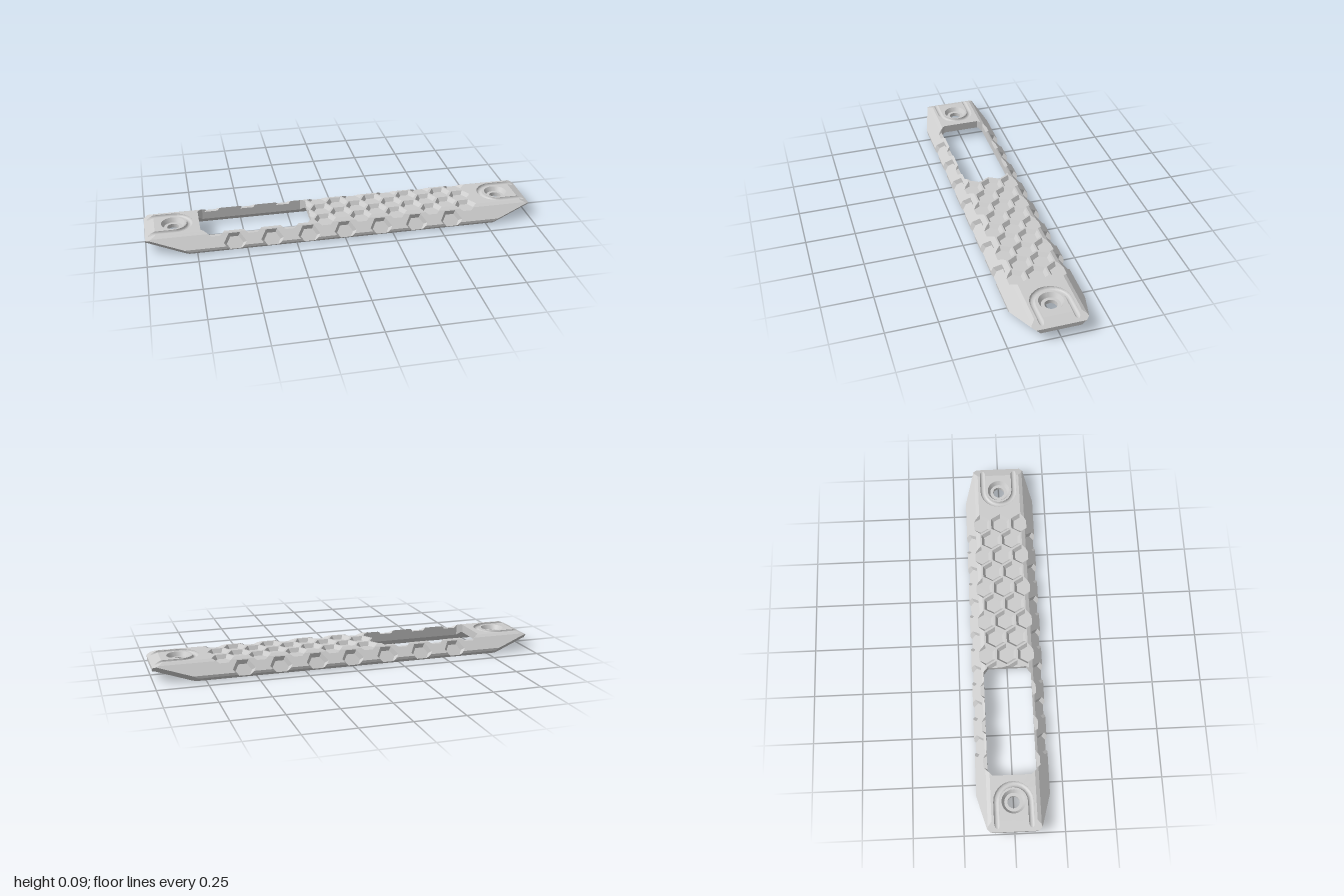
import * as THREE from 'three';
import { toCreasedNormals } from 'three/addons/utils/BufferGeometryUtils.js';

// The cover is one convex bar with convex pockets carved out of it. Every solid
// is a list of planes whose normals point outwards.
const EPS = 1e-6;
const V = (x, y, z) => new THREE.Vector3(x, y, z);
const plane = (normal, point) =>
  new THREE.Plane().setFromNormalAndCoplanarPoint(normal.clone().normalize(), point);

// Split a convex polygon into the parts behind and in front of a plane
function split(poly, pl) {
  const d = poly.map((p) => pl.distanceToPoint(p));
  if (!d.some((v) => v < -EPS)) return [null, poly];
  if (!d.some((v) => v > EPS)) return [poly, null];
  const inside = [], outside = [];
  poly.forEach((p, i) => {
    const j = (i + 1) % poly.length;
    if (d[i] <= EPS) inside.push(p);
    if (d[i] >= -EPS) outside.push(p);
    if ((d[i] < -EPS && d[j] > EPS) || (d[i] > EPS && d[j] < -EPS)) {
      const cut = p.clone().lerp(poly[j], d[i] / (d[i] - d[j]));
      inside.push(cut);
      outside.push(cut);
    }
  });
  return [inside, outside];
}

function clip(poly, planes) {
  for (const pl of planes) {
    if (!poly) return null;
    poly = split(poly, pl)[0];
  }
  return poly;
}

function subtract(poly, planes) {
  const kept = [];
  let rest = poly;
  for (const pl of planes) {
    const [inside, outside] = split(rest, pl);
    if (!inside) return [poly];
    if (outside) kept.push(outside);
    rest = inside;
  }
  return kept;
}

// Faces of a convex solid, each cut from a large square on its plane
function facesOf(planes, skip = []) {
  return planes.filter((pl) => !skip.includes(pl)).map((pl) => {
    const n = pl.normal;
    const u = (Math.abs(n.y) < 0.9 ? V(0, 1, 0) : V(1, 0, 0)).cross(n).normalize();
    const v = n.clone().cross(u);
    const c = n.clone().multiplyScalar(-pl.constant);
    const square = [[1, 1], [-1, 1], [-1, -1], [1, -1]].map(([a, b]) =>
      c.clone().addScaledVector(u, 4 * a).addScaledVector(v, 4 * b));
    return clip(square, planes.filter((o) => o !== pl));
  }).filter(Boolean);
}

const TOP = 0.0915;

// Bar: flat top, bevelled shoulders, sloping legs and tapered ends
function barPlanes() {
  const planes = [plane(V(0, 1, 0), V(0, TOP, 0)), plane(V(0, -1, 0), V(0, 0, 0))];
  for (const s of [1, -1]) {
    planes.push(
      plane(V(0, 0.89, 0.45 * s), V(0, TOP, 0.112 * s)),
      plane(V(0, 1, s), V(0, 0.03, 0.183 * s)),
      plane(V(0, 0, s), V(0, 0, 0.183 * s)),
      plane(V(0, -1, s), V(0, 0, 0.166 * s)),
      plane(V(s, 0, 0), V(s, 0, 0)),
      plane(V(0.43 * s, 1, 0), V(0.95 * s, TOP, 0)));
    for (const e of [1, -1]) planes.push(plane(V(0.56 * e, -1, s), V(0.79 * e, 0, 0.166 * s)));
  }
  return planes;
}

// Tapered hole with n sides: radius r at the floor, growing by `flare` per unit height
function pocket(floor, up, n, r, flare, turn = 0) {
  const ex = V(1, 0, 0), ez = ex.clone().cross(up);
  const planes = [plane(up.clone().negate(), floor)];
  for (let i = 0; i < n; i++) {
    const a = turn + (i * 2 * Math.PI) / n;
    const dir = ex.clone().multiplyScalar(Math.cos(a)).addScaledVector(ez, Math.sin(a));
    planes.push(plane(dir.clone().addScaledVector(up, -flare), floor.clone().addScaledVector(dir, r)));
  }
  return planes;
}

// Round-bottomed groove segments along a path; the joints get no end faces
function groove(path, r) {
  const dirs = path.slice(1).map((p, i) => p.clone().sub(path[i]).normalize());
  return dirs.map((d, i) => {
    const joint = (k) => d.clone().add(dirs[k] || d);
    const skip = [plane(joint(i - 1).negate(), path[i]), plane(joint(i + 1), path[i + 1])];
    const side = V(0, 1, 0).cross(d), planes = [...skip];
    for (let k = 0; k <= 12; k++) {
      const a = (k * Math.PI) / 12;
      const n = side.clone().multiplyScalar(Math.cos(a)).add(V(0, -Math.sin(a), 0));
      planes.push(plane(n, path[i].clone().addScaledVector(n, r)));
    }
    return { planes, skip };
  });
}

function makeCutters() {
  const cutters = [];
  const add = (name, planes, skip) => cutters.push({ name, planes, skip });

  // Channel under the bar
  add('undersideChannel', [plane(V(0, 1, 0), V(0, 0.049, 0)),
    plane(V(0, 1, 1), V(0, 0, 0.153)), plane(V(0, 1, -1), V(0, 0, -0.153))]);

  // Window with clipped corners
  const win = [];
  for (const s of [1, -1]) {
    const x = s > 0 ? -0.16 : -0.725;
    win.push(plane(V(s, 0, 0), V(x, 0, 0)), plane(V(0, 0, s), V(0, 0, 0.122 * s)));
    for (const e of [1, -1]) win.push(plane(V(s, 0, e), V(x - 0.025 * s, 0, 0.122 * e)));
  }
  add('windowWalls', win);

  // Honeycomb on the top and a row of hexagons on each leg
  const step = 0.0935, row = 0.054, depth = 0.02, inner = 0.036, flare = 0.66;
  const hex = (floor, up) => add('hexPockets', pocket(floor, up, 6, inner, flare, Math.PI / 6));
  const yFloor = TOP - depth, up = V(0, 1, 0);
  for (let k = -7; k <= 7; k += 2)
    for (const z of [-2, 0, 2]) hex(V(k * step, yFloor, z * row), up);
  for (let k = -2; k <= 6; k += 2)
    for (const z of [-1, 1]) hex(V(k * step, yFloor, z * row), up);
  for (const s of [1, -1]) {
    const n = V(0, 1, s).normalize();
    for (let k = -6; k <= 6; k += 2)
      hex(V(k * step, 0.043, 0.17 * s).addScaledVector(n, -depth), n);
  }

  // Screw seats, screw holes and the U-shaped grooves around them
  for (const s of [1, -1]) {
    const x = 0.856 * s;
    add('screwSeats', pocket(V(x, TOP - 0.022, 0), up, 32, 0.046, 0.6));
    add('screwHoles', pocket(V(x, -1, 0), up, 32, 0.03, 0));
    const path = [V(1.2 * s, TOP, -0.085)];
    for (let i = 0; i <= 12; i++) {
      const a = -Math.PI / 2 + (i * Math.PI) / 12;
      path.push(V(x - s * 0.085 * Math.cos(a), TOP, 0.085 * Math.sin(a)));
    }
    path.push(V(1.2 * s, TOP, 0.085));
    for (const g of groove(path, 0.015)) add('endGrooves', g.planes, g.skip);
  }
  return cutters;
}

// Fan the polygons into triangles, smooth only across shallow angles
function toMesh(name, polys) {
  const pos = [];
  for (const p of polys)
    for (let i = 1; i < p.length - 1; i++) {
      const area = p[i].clone().sub(p[0]).cross(p[i + 1].clone().sub(p[0])).length();
      if (area > 1e-9) for (const v of [p[0], p[i], p[i + 1]]) pos.push(v.x, v.y, v.z);
    }
  const geo = new THREE.BufferGeometry();
  geo.setAttribute('position', new THREE.Float32BufferAttribute(pos, 3));
  const mesh = new THREE.Mesh(toCreasedNormals(geo, 0.3),
    new THREE.MeshStandardMaterial({ color: 0xcccccc }));
  mesh.name = name;
  return mesh;
}

export function createModel() {
  const group = new THREE.Group();
  group.name = 'railCover';
  const bar = barPlanes(), cutters = makeCutters();
  const carve = (polys, self) => cutters.reduce((list, c) =>
    (c === self ? list : list.flatMap((p) => subtract(p, c.planes))), polys);

  const parts = { coverShell: carve(facesOf(bar), null) };
  for (const c of cutters) {
    const walls = facesOf(c.planes, c.skip).map((p) => clip(p, bar)).filter(Boolean);
    const visible = carve(walls, c).map((p) => [...p].reverse());
    (parts[c.name] ??= []).push(...visible);
  }
  for (const [name, polys] of Object.entries(parts)) group.add(toMesh(name, polys));
  return group;
}
